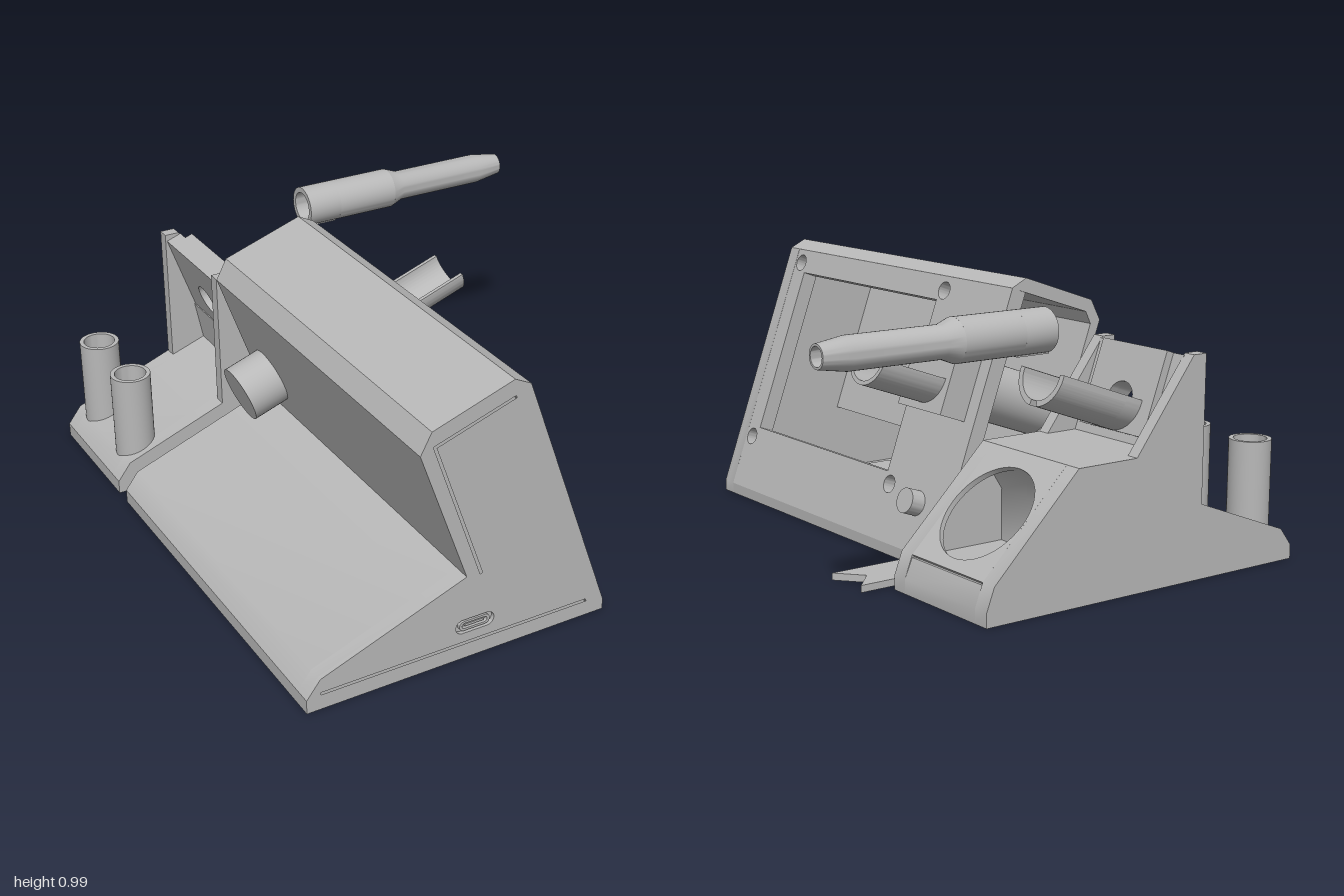
import * as THREE from 'three';
import { toCreasedNormals } from 'three/addons/utils/BufferGeometryUtils.js';

const grey = new THREE.MeshStandardMaterial({ color: 0xb8b8b8 });
grey.name = 'plain grey';
const TILT = THREE.MathUtils.degToRad(19.6);
const C = Math.cos(TILT), S = Math.sin(TILT);

const poly = (pts, Type = THREE.Shape) => new Type(pts.map(p => new THREE.Vector2(p[0], p[1])));
const rect = (x0, y0, x1, y1, Type) => poly([[x0, y0], [x1, y0], [x1, y1], [x0, y1]], Type);
function circle(x, y, r) {
  const p = new THREE.Path();
  p.absarc(x, y, r, 0, Math.PI * 2, true);
  return p;
}
function stadium(x, y, w, h, Type) {
  const p = new Type(), r = h / 2, d = w / 2 - r;
  p.absarc(x + d, y, r, -Math.PI / 2, Math.PI / 2, false);
  p.absarc(x - d, y, r, Math.PI / 2, Math.PI * 1.5, false);
  p.closePath();
  return p;
}

export function createModel() {
  const model = new THREE.Group();
  model.name = 'workstation';

  const add = (name, geometry, parent = model) => {
    const mesh = new THREE.Mesh(toCreasedNormals(geometry, 0.6), grey);
    mesh.name = name;
    parent.add(mesh);
    return mesh;
  };
  const extrude = (shape, z0, z1) => new THREE.ExtrudeGeometry(shape,
    { depth: z1 - z0, bevelEnabled: false, curveSegments: 24 }).translate(0, 0, z0);
  // Group whose local z leans up and out of the sloping front, local x runs to -z
  const tilted = (name, x, y, z) => {
    const g = new THREE.Group();
    g.name = name;
    g.rotation.setFromRotationMatrix(new THREE.Matrix4().makeBasis(
      new THREE.Vector3(0, 0, -1), new THREE.Vector3(-S, C, 0), new THREE.Vector3(C, S, 0)));
    g.position.set(x, y, z);
    model.add(g);
    return g;
  };
  const rod = (r, z0, z1) => new THREE.CylinderGeometry(r, r, z1 - z0, 40)
    .rotateX(Math.PI / 2).translate(0, 0, (z0 + z1) / 2);
  const lathe = (pts, start = 0, len = Math.PI * 2) => new THREE.LatheGeometry(
    pts.map(p => new THREE.Vector2(p[0], p[1])), 40, start, len);
  // Open trough: lower part of a tube
  const trough = (ro, ri, extra) => {
    const s = new THREE.Shape();
    s.absarc(0, 0, ro, Math.PI - extra, Math.PI * 2 + extra, false);
    s.absarc(0, 0, ri, Math.PI * 2 + extra, Math.PI - extra, true);
    s.closePath();
    return s;
  };

  // Main housing: hollow shell, open at the far end
  const outer = [[0.225, 0.04], [0.225, 0], [-0.9, 0], [-0.9, 0.05], [-0.85, 0.115],
    [-0.32, 0.315], [-0.495, 0.81], [-0.455, 0.885], [-0.16, 0.985], [-0.1, 0.955]];
  const inner = [[-0.157, 0.935], [-0.43, 0.845], [-0.452, 0.8], [-0.272, 0.29],
    [-0.83, 0.085], [-0.83, 0.035], [0.2, 0.035]];
  add('housingShell', extrude(poly([...outer, ...inner]), -0.43, 0.94));
  add('endWall', extrude(poly(outer), 0.94, 0.985));

  // Outer skin of the end wall, with the engraved outline and the port opening
  const skin = poly(outer);
  skin.holes.push(
    poly([[-0.27, 0.31], [-0.45, 0.83], [-0.13, 0.935], [0.175, 0.055], [-0.85, 0.055],
      [-0.85, 0.064], [0.162, 0.064], [-0.136, 0.924], [-0.438, 0.824], [-0.261, 0.313]], THREE.Path),
    stadium(-0.285, 0.125, 0.145, 0.052, THREE.Path));
  add('endSkin', extrude(skin, 0.985, 1));
  const socket = stadium(-0.285, 0.125, 0.115, 0.036, THREE.Shape);
  socket.holes.push(stadium(-0.285, 0.125, 0.095, 0.02, THREE.Path));
  add('portSocket', extrude(socket, 0.985, 0.998));
  add('portTongue', new THREE.BoxGeometry(0.07, 0.008, 0.01).translate(-0.285, 0.125, 0.99));

  // Sloping front panel with window and screw holes
  const front = tilted('frontPanel', 0.225, 0.04, 0);
  const up = y => (y - 0.04) / C;
  const panel = rect(-1, 0, 0.43, 0.971);
  panel.holes.push(rect(-0.86, up(0.27), 0.03, up(0.87), THREE.Path));
  for (const x of [-0.9, 0.06]) for (const y of [0.23, 0.905]) panel.holes.push(circle(x, up(y), 0.032));
  add('panel', extrude(panel, -0.06, 0), front);
  add('button', rod(0.045, -0.03, 0.055).translate(0.245, up(0.2), 0), front);

  // Circuit board on the floor
  add('circuitBoard', new THREE.BoxGeometry(0.57, 0.03, 0.7).translate(-0.285, 0.075, 0.32));
  add('boardChip', new THREE.BoxGeometry(0.2, 0.04, 0.26).translate(-0.2, 0.105, 0.48));
  for (let i = 0; i < 10; i++)
    add('boardPin', new THREE.CylinderGeometry(0.008, 0.008, 0.008, 12).translate(-0.04, 0.092, 0.05 + i * 0.03));
  add('boardStud', new THREE.CylinderGeometry(0.02, 0.02, 0.008, 20).translate(-0.04, 0.092, 0.63));

  // Barrel through the housing, with its square collar and open trough
  const holder = tilted('barrelHolder', -0.505, 0.43, -0.25);
  add('barrel', rod(0.105, 0, 0.58), holder);
  add('collar', new THREE.BoxGeometry(0.25, 0.25, 0.11).translate(0, 0, 0.61), holder);
  add('barrelTrough', extrude(trough(0.1, 0.085, 0), 0.66, 0.93), holder);

  // Rear stand base: full slices at the sides, hollowed slice in the middle
  const back = [[0.44, 0], [-0.9, 0], [-0.9, 0.05], [-0.85, 0.115], [-0.465, 0.262],
    [-0.33, 0.31], [-0.36, 0.46], [0.075, 0.46]];
  const full = poly([...back, [0.41, 0.13], [0.44, 0.05]]);
  add('standSide', extrude(full, -0.56, -0.5));
  add('standSide', extrude(full, -1, -0.94));
  add('standMiddle', extrude(poly([...back, [0.118, 0.418], [0.04, 0.3], [0.04, 0.12],
    [0.41, 0.12], [0.44, 0.05]]), -0.94, -0.56));

  // Slope plate with the round opening
  const slope = new THREE.Group();
  slope.name = 'slopePlate';
  slope.position.set(0.41, 0.13, -0.75);
  const sx = -0.335 / 0.47, sy = 0.33 / 0.47;
  slope.rotation.setFromRotationMatrix(new THREE.Matrix4().makeBasis(
    new THREE.Vector3(0, 0, -1), new THREE.Vector3(sx, sy, 0), new THREE.Vector3(sy, -sx, 0)));
  model.add(slope);
  const plate = rect(-0.19, 0, 0.19, 0.47);
  plate.holes.push(circle(0, 0.225, 0.184));
  add('plate', extrude(plate, -0.02, 0), slope);

  // Upright cheeks of the stand
  const cheek = poly([[-0.465, 0.25], [-0.2, 0.3], [-0.17, 0.46], [-0.41, 0.775], [-0.465, 0.775]]);
  for (const z of [-0.545, -1]) add('cheek', extrude(cheek, z, z + 0.045));

  // Tilted back plate, raised mount and trough for the hand tool
  const rest = tilted('toolRest', -0.285, 0.44, -0.75);
  const wall = rect(-0.21, -0.1, 0.21, 0.35);
  wall.holes.push(circle(0, 0.16, 0.06));
  add('backPlate', extrude(wall, -0.06, 0), rest);
  const mount = rect(-0.16, 0.05, 0.16, 0.35);
  mount.holes.push(circle(0, 0.16, 0.06));
  add('mountPlate', extrude(mount, 0, 0.03), rest);
  const cradle = new THREE.Group();
  cradle.name = 'toolCradle';
  cradle.position.set(0, 0.16, 0);
  rest.add(cradle);
  add('cradleRoot', extrude(trough(0.11, 0.09, 0.1), 0.03, 0.1), cradle);
  // Two side shells leave a narrow slot along the bottom
  for (const side of [0, 1]) {
    const a0 = side ? Math.PI * 1.5 + 0.15 : Math.PI - 0.1;
    const a1 = side ? Math.PI * 2 + 0.1 : Math.PI * 1.5 - 0.15;
    const s = new THREE.Shape();
    s.absarc(0, 0, 0.11, a0, a1, false);
    s.absarc(0, 0, 0.09, a1, a0, true);
    s.closePath();
    add('cradleShell', extrude(s, 0.1, 0.39), cradle);
  }

  // Cups on the rear of the stand
  for (const z of [-0.9, -0.6])
    add('cup', lathe([[0, 0.1], [0.074, 0.1], [0.074, 0.43], [0.058, 0.43], [0.058, 0.16], [0, 0.16]]))
      .position.set(-0.785, 0, z);

  // Hollow hand tool, floating level above the stand
  const tool = new THREE.Group();
  tool.name = 'handTool';
  tool.position.set(0, 0.867, -0.75);
  tool.rotation.z = -Math.PI / 2;
  model.add(tool);
  const ring = (ro, ri, a, b) => [[ri, a], [ro, a], [ro, b], [ri, b], [ri, a]];
  add('toolTail', lathe(ring(0.075, 0.055, 0.02, 0.15)), tool);
  // Grip slit along the underside
  const grip = add('toolGrip', lathe(ring(0.075, 0.055, 0.15, 0.39), Math.PI / 2 + 0.3, Math.PI * 2 - 0.6), tool);
  grip.material = grey.clone();
  grip.material.side = THREE.DoubleSide;
  add('toolNose', lathe([[0.055, 0.39], [0.075, 0.39], [0.056, 0.44], [0.056, 0.79], [0.04, 0.895],
    [0.032, 0.895], [0.04, 0.79], [0.04, 0.44], [0.055, 0.39]]), tool);
  add('toolKey', new THREE.BoxGeometry(0.012, 0.13, 0.05).translate(0.07, 0.085, 0), tool);

  // Bow-tie joining key lying beside the housing
  const key = poly([[0.25, 0.465], [0.33, 0.38], [0.25, 0.29], [0.55, 0.29], [0.47, 0.38], [0.55, 0.465]]);
  add('joiningKey', extrude(key, 0, 0.025).rotateX(-Math.PI / 2));

  return model;
}
